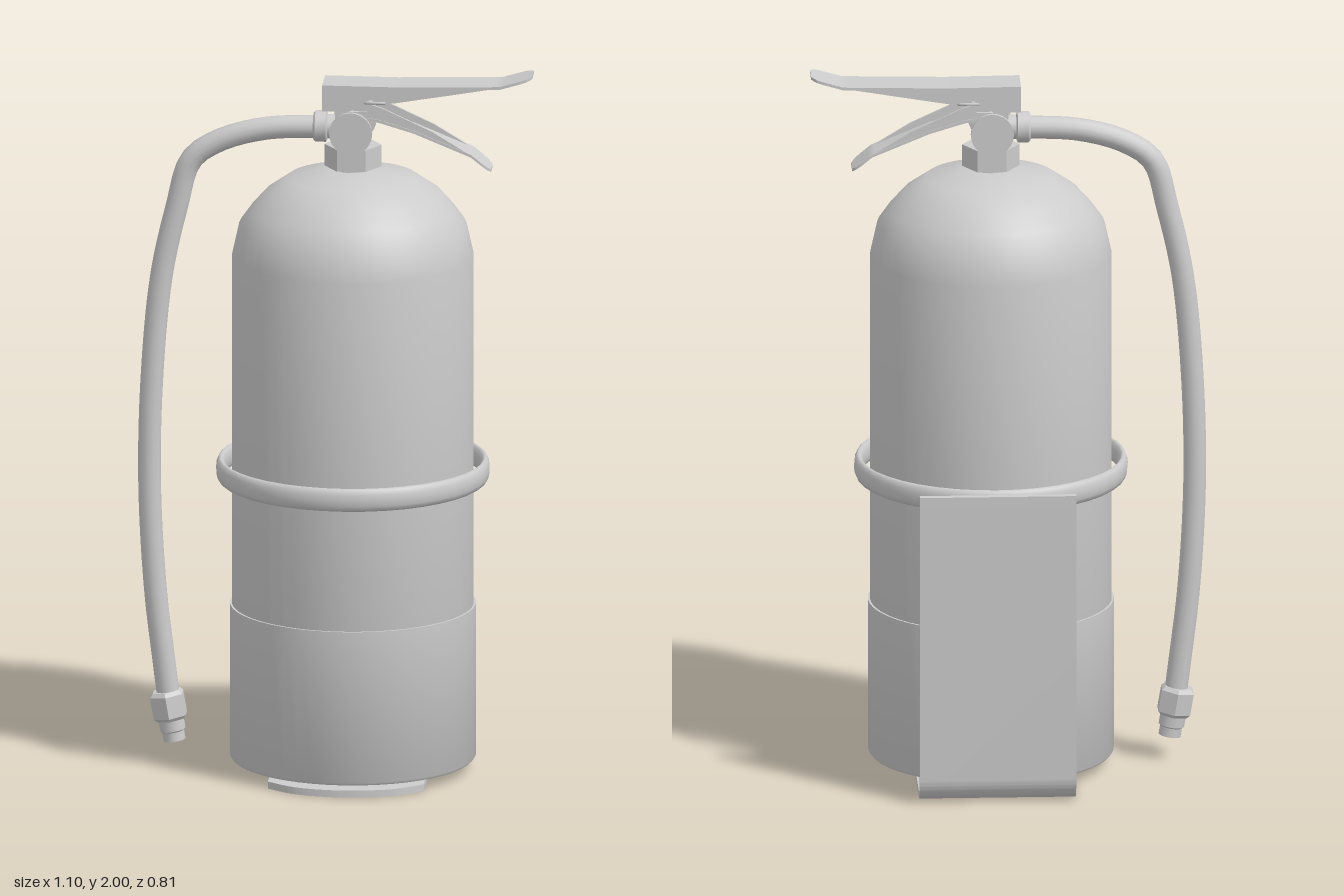
import * as THREE from 'three';
import { toCreasedNormals } from 'three/addons/utils/BufferGeometryUtils.js';

const mat = new THREE.MeshStandardMaterial({ color: 0xcccccc, side: THREE.DoubleSide });
const CX = 0.047, CZ = 0.025; // tank axis
const VZ = 0.025;             // valve mid-plane

const v2 = (pts) => pts.map(([x, y]) => new THREE.Vector2(x, y));

function add(parent, name, geo, x = 0, y = 0, z = 0) {
  const mesh = new THREE.Mesh(geo, mat);
  mesh.name = name;
  mesh.position.set(x, y, z);
  parent.add(mesh);
  return mesh;
}

function lathe(pts, segments = 48, crease = 0.7) {
  return toCreasedNormals(new THREE.LatheGeometry(v2(pts), segments), crease);
}

// Side profile in x/y, extruded symmetrically about z = 0
function slab(pts, depth) {
  const geo = new THREE.ExtrudeGeometry(new THREE.Shape(v2(pts)), { depth, bevelEnabled: false });
  geo.translate(0, 0, -depth / 2);
  return toCreasedNormals(geo, 0.5);
}

// Piecewise linear height
function heightAt(path, x) {
  let i = 1;
  while (i < path.length - 1 && x > path[i][0]) i++;
  const [x0, y0] = path[i - 1], [x1, y1] = path[i];
  return y0 + (y1 - y0) * (x - x0) / (x1 - x0);
}

// Sheet-metal strip following a path, with a rounded far end
function strip(path, width, thick) {
  const x0 = path[0][0], x1 = path[path.length - 1][0], round = 0.035;
  const geo = new THREE.BoxGeometry(x1 - x0, thick, width, 40, 1, 2);
  geo.translate((x0 + x1) / 2, 0, 0);
  const p = geo.attributes.position;
  for (let i = 0; i < p.count; i++) {
    const x = p.getX(i), t = Math.max(0, (x - (x1 - round)) / round);
    p.setY(i, p.getY(i) + heightAt(path, x));
    p.setZ(i, p.getZ(i) * (1 - 0.4 * (1 - Math.sqrt(Math.max(0, 1 - t * t)))));
  }
  return toCreasedNormals(geo, 0.5);
}

function buildTank() {
  const g = new THREE.Group();
  g.name = 'tank';
  g.position.set(CX, 0, CZ);
  add(g, 'cylinderShell', lathe([[0, 0.035], [0.33, 0.035], [0.337, 0.05], [0.337, 1.47],
    [0.317, 1.56], [0.285, 1.605], [0.245, 1.65], [0.18, 1.695], [0.06, 1.717], [0, 1.717]]));
  add(g, 'lowerSleeve', lathe([[0, 0.03], [0.337, 0.03], [0.343, 0.038], [0.343, 0.472], [0.336, 0.472]]));
  return g;
}

function buildBracket() {
  const g = new THREE.Group();
  g.name = 'wallBracket';
  // Back plate, bend and rear part of the foot, extruded across the width
  const w = 0.436, t = 0.02, back = 0.408, r = 0.07;
  const side = new THREE.Shape();
  side.moveTo(back, 0.89);
  side.lineTo(back, r);
  side.absarc(back - r, r, r, 0, -Math.PI / 2, true);
  side.lineTo(-0.2, 0);
  side.lineTo(-0.2, t);
  side.lineTo(back - r, t);
  side.absarc(back - r, r, r - t, -Math.PI / 2, 0, false);
  side.lineTo(back - t, 0.89);
  const plate = new THREE.ExtrudeGeometry(side, { depth: w, bevelEnabled: false, curveSegments: 10 });
  plate.translate(0, 0, -w / 2);
  plate.rotateY(Math.PI / 2);
  add(g, 'backPlate', toCreasedNormals(plate, 0.5), CX, 0, 0);
  // Curved front of the foot
  const toe = new THREE.Shape();
  toe.moveTo(-w / 2, -0.2);
  toe.lineTo(-w / 2, -0.295);
  toe.splineThru(v2([[-0.13, -0.357], [0, -0.381], [0.13, -0.357], [w / 2, -0.295]]));
  toe.lineTo(w / 2, -0.2);
  const foot = new THREE.ExtrudeGeometry(toe, { depth: t, bevelEnabled: false });
  foot.rotateX(-Math.PI / 2);
  add(g, 'footPlate', toCreasedNormals(foot, 0.5), CX, 0, 0);
  // Retaining ring with a flattened oval section
  const ring = [];
  for (let i = 0; i <= 12; i++) {
    const a = (i / 12) * Math.PI * 2;
    ring.push([0.369 + 0.013 * Math.cos(a), 0.858 + 0.033 * Math.sin(a)]);
  }
  add(g, 'retainingRing', lathe(ring, 40, 1.2), CX, 0, CZ);
  add(g, 'ringTab', new THREE.BoxGeometry(0.235, 0.012, 0.07), CX, 0.865, -0.358);
  return g;
}

function buildValve() {
  const g = new THREE.Group();
  g.name = 'valve';
  g.position.z = VZ;
  add(g, 'neck', new THREE.CylinderGeometry(0.045, 0.05, 0.05, 24), CX, 1.72, 0);
  const nut = new THREE.CylinderGeometry(0.08, 0.08, 0.062, 6).toNonIndexed();
  nut.rotateY(Math.PI / 2);
  nut.computeVertexNormals();
  add(g, 'neckNut', nut, CX, 1.757, 0);
  add(g, 'valveBody', new THREE.BoxGeometry(0.085, 0.12, 0.11), CX, 1.835, 0);
  add(g, 'valveTop', new THREE.BoxGeometry(0.075, 0.08, 0.08), CX - 0.01, 1.91, 0);
  // Round caps on both sides
  for (const s of [1, -1]) {
    const cap = lathe([[0, 0.04], [0.05, 0.04], [0.05, 0.078], [0.06, 0.08], [0.06, 0.093], [0, 0.093]], 24);
    cap.rotateX(s * Math.PI / 2);
    add(g, 'sideCap', cap, CX, 1.84, 0);
  }
  // Locking pin with small wire rings
  const pin = new THREE.CylinderGeometry(0.008, 0.008, 0.14, 10);
  pin.rotateX(Math.PI / 2);
  add(g, 'lockingPin', pin, 0.1, 1.922, 0);
  for (const s of [1, -1]) {
    const loop = add(g, 'pinRing', new THREE.TorusGeometry(0.016, 0.004, 6, 16), 0.113, 1.924, s * 0.068);
    loop.rotation.x = Math.PI / 2 - 0.3 * s;
    loop.scale.x = 1.6;
  }
  return g;
}

function buildLevers() {
  const g = new THREE.Group();
  g.name = 'levers';
  g.position.z = VZ;
  add(g, 'upperLever', strip([[-0.035, 1.966], [0.17, 1.964], [0.46, 1.97], [0.55, 1.996]], 0.115, 0.008));
  add(g, 'lowerLever', strip([[0.07, 1.875], [0.12, 1.868], [0.22, 1.838], [0.38, 1.772], [0.435, 1.727]], 0.1, 0.008));
  const upperWall = [[-0.035, 1.895], [0.04, 1.895], [0.07, 1.912], [0.17, 1.922], [0.34, 1.95], [0.47, 1.972],
    [0.17, 1.966], [-0.035, 1.967]];
  const lowerWall = [[0.05, 1.88], [0.12, 1.866], [0.22, 1.837], [0.385, 1.77], [0.27, 1.84], [0.13, 1.905], [0.06, 1.925]];
  for (const s of [1, -1]) {
    add(g, 'upperLeverWall', slab(upperWall, 0.008), 0, 0, s * 0.052);
    add(g, 'lowerLeverWall', slab(lowerWall, 0.008), 0, 0, s * 0.043);
  }
  return g;
}

function buildHose() {
  const g = new THREE.Group();
  g.name = 'hoseAssembly';
  g.position.z = 0.022;
  const path = new THREE.CatmullRomCurve3([[-0.03, 1.838], [-0.2, 1.828], [-0.33, 1.79], [-0.405, 1.735],
    [-0.445, 1.6], [-0.488, 1.4], [-0.515, 1.1], [-0.521, 0.8], [-0.505, 0.5], [-0.482, 0.3], [-0.467, 0.18]]
    .map(([x, y]) => new THREE.Vector3(x, y, 0)));
  add(g, 'hose', new THREE.TubeGeometry(path, 60, 0.032, 14));
  // Fitting at the valve
  const collar = lathe([[0, 0], [0.038, 0], [0.044, 0.006], [0.044, 0.036], [0.034, 0.04], [0.034, 0.075], [0, 0.075]], 20);
  collar.rotateZ(-Math.PI / 2);
  add(g, 'hoseCollar', collar, -0.063, 1.838, 0);
  // Hexagonal nozzle fitting at the free end
  const nozzle = new THREE.Group();
  nozzle.name = 'nozzle';
  nozzle.position.set(-0.468, 0.165, 0);
  nozzle.rotation.z = 0.17;
  const hex = new THREE.LatheGeometry(v2([[0, 0.043], [0.042, 0.043], [0.052, 0.032], [0.052, -0.03], [0.042, -0.04],
    [0, -0.04]]), 6).toNonIndexed();
  hex.computeVertexNormals();
  add(nozzle, 'nozzleNut', hex);
  add(nozzle, 'nozzleTip', lathe([[0, -0.035], [0.036, -0.035], [0.036, -0.07], [0.031, -0.074], [0.031, -0.1],
    [0.018, -0.1], [0.018, -0.08], [0, -0.08]], 16));
  g.add(nozzle);
  return g;
}

export function createModel() {
  const model = new THREE.Group();
  model.name = 'fireExtinguisher';
  model.add(buildTank(), buildBracket(), buildValve(), buildLevers(), buildHose());
  return model;
}
